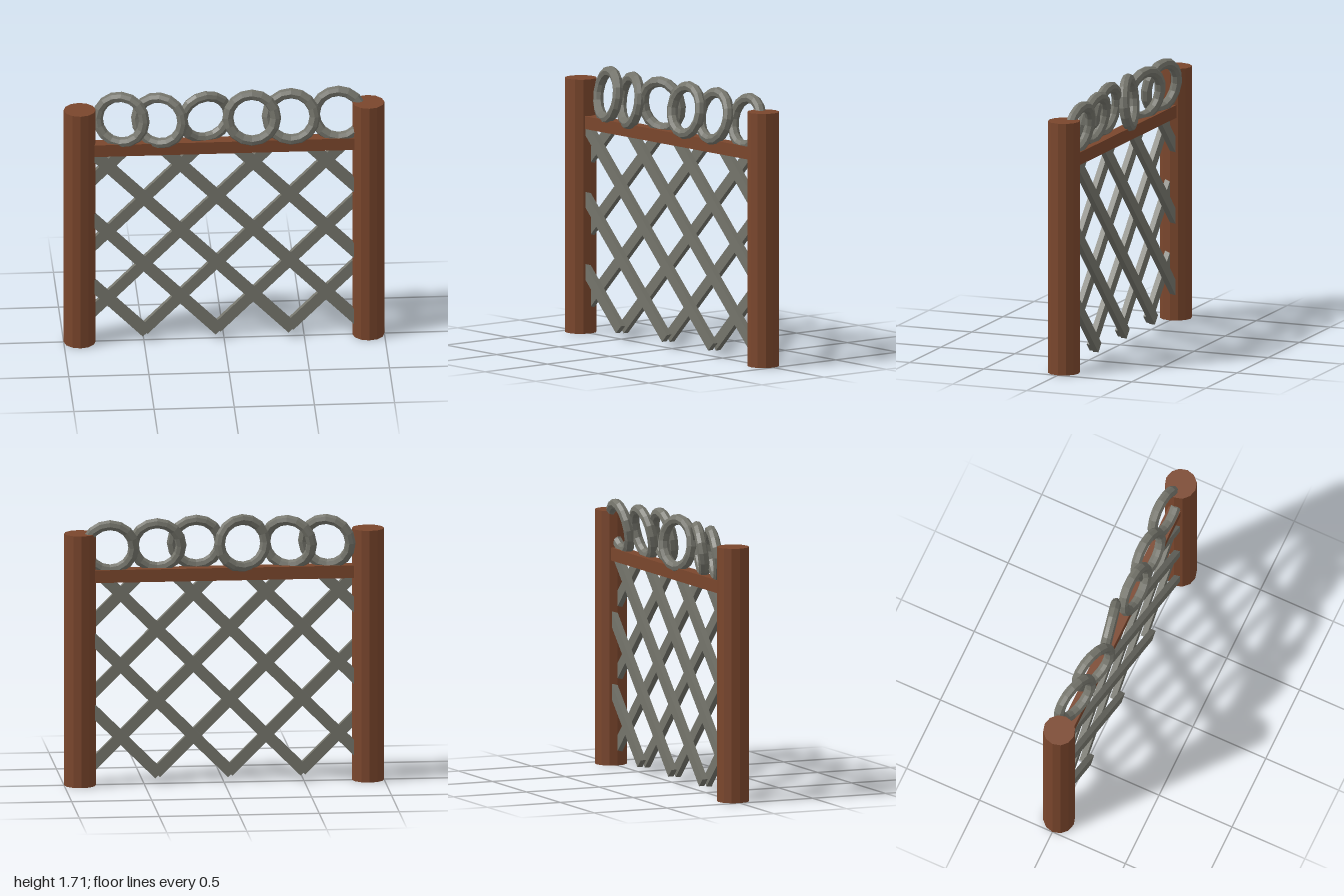
import * as THREE from 'three';

export function createModel() {
  const wood = new THREE.MeshStandardMaterial({ color: 0x7a462c, flatShading: true });
  wood.name = 'brown wood';
  const metal = new THREE.MeshStandardMaterial({ color: 0x74746b, flatShading: true });
  metal.name = 'grey metal';

  const group = new THREE.Group();
  group.name = 'fence';
  const add = (name, geometry, material, x, y, z) => {
    const mesh = new THREE.Mesh(geometry, material);
    mesh.name = name;
    mesh.position.set(x, y, z);
    group.add(mesh);
    return mesh;
  };

  // Posts and top rail
  const postGeometry = new THREE.CylinderGeometry(0.1, 0.1, 1.6, 12);
  add('leftPost', postGeometry, wood, 0.9, 0.8, 0);
  add('rightPost', postGeometry, wood, -0.9, 0.8, 0);
  add('topRail', new THREE.BoxGeometry(1.62, 0.08, 0.08), wood, 0, 1.33, 0);

  // Lattice: 45 degree bars, one layer falling to +x in front, one rising behind
  const width = 0.07, depth = 0.036, spacing = 0.4545;
  const edge = 0.835, bottom = 0.064, top = 1.315;
  const addBar = (name, slope, offset, z) => {
    // Clip the line y = slope * x + offset to the frame
    const xs = [(bottom - offset) / slope, (top - offset) / slope].sort((a, b) => a - b);
    const x0 = Math.max(-edge, xs[0]);
    const x1 = Math.min(edge, xs[1]);
    const mid = (x0 + x1) / 2;
    const bar = add(name, new THREE.BoxGeometry((x1 - x0) * Math.SQRT2, width, depth),
      metal, mid, slope * mid + offset, z);
    bar.rotation.z = slope * Math.PI / 4;
  };
  for (let k = 0; k < 6; k++) {
    addBar('frontLatticeBar', -1, -0.42 + spacing * k, depth / 2);
    addBar('backLatticeBar', 1, 0.565 + spacing * (k - 2), -depth / 2);
  }

  // Rings leaning along the rail: x, y, z, pitch, yaw
  const ringGeometry = new THREE.TorusGeometry(0.149, 0.034, 8, 16);
  const rings = [
    [-0.642, 1.52, -0.01, -0.14, -0.28],
    [-0.403, 1.515, 0.005, -0.14, -0.32],
    [-0.115, 1.52, -0.013, 0.08, 0.2],
    [0.172, 1.525, 0.024, -0.16, -0.06],
    [0.418, 1.515, 0.0, -0.2, -0.08],
    [0.715, 1.512, -0.022, -0.18, -0.08],
  ];
  for (const [x, y, z, pitch, yaw] of rings) {
    add('ring', ringGeometry, metal, x, y, z).rotation.set(pitch, yaw, 0, 'YXZ');
  }
  return group;
}
